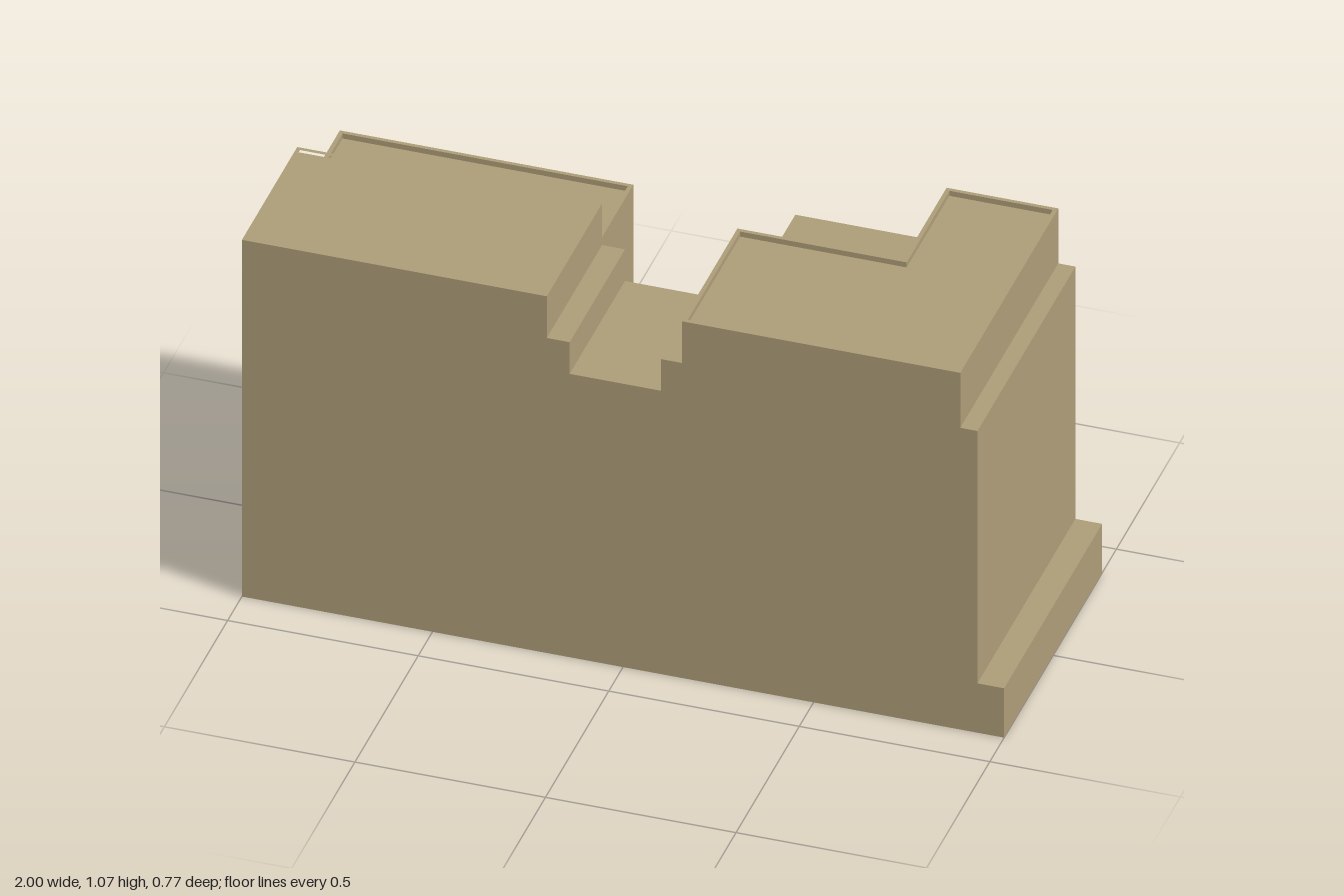
import * as THREE from 'three';

const D = 0.387;      // half depth
const MID = -0.05;    // plane between front and rear wings
const TOP = 1.07, LOW = 0.905;
const LIP = 0.015, T = 0.011; // parapet height and thickness

const toShape = (pts) => new THREE.Shape(pts.map(([x, y]) => new THREE.Vector2(x, y)));

export function createModel() {
  const group = new THREE.Group();
  const stone = new THREE.MeshStandardMaterial({ color: 0xad9d78 });
  stone.name = 'sandstone';

  const add = (name, geometry) => {
    const mesh = new THREE.Mesh(geometry, stone);
    mesh.name = name;
    group.add(mesh);
  };

  // Wing: elevation outline (x, y) swept from z0 to z1
  const wing = (name, pts, z0, z1) => {
    const g = new THREE.ExtrudeGeometry(toShape(pts), { depth: z1 - z0, bevelEnabled: false });
    add(name, g.translate(0, 0, z0));
  };

  // Parapet: plan outline (x, z) with an optional opening, raised to height y
  const parapet = (name, outer, inner, y) => {
    const plan = (pts) => pts.map(([x, z]) => [x, -z]);
    const shape = toShape(plan(outer));
    if (inner) shape.holes.push(toShape(plan(inner)));
    const g = new THREE.ExtrudeGeometry(shape, { depth: LIP, bevelEnabled: false });
    add(name, g.rotateX(-Math.PI / 2).translate(0, y - LIP, 0));
  };

  const rect = (x0, x1, z0, z1) => [[x0, z0], [x1, z0], [x1, z1], [x0, z1]];
  const roof = TOP - LIP;

  // Stepped end shared by both wings
  const end = [[1, 0], [1, 0.148], [0.93, 0.148], [0.93, LOW], [0.885, LOW], [0.885, roof]];

  // Front wing with the stepped central gap
  wing('frontWing', [[-1, 0], ...end,
    [0.155, roof], [0.155, 0.945], [0.1, 0.945], [0.1, 0.85],
    [-0.14, 0.85], [-0.14, 0.945], [-0.2, 0.945], [-0.2, roof], [-1, roof]], MID, D);

  // Rear wing with the deep court, terrace and lower roof
  wing('rearWing', [[-1, 0], ...end,
    [0.592, roof], [0.592, LOW], [0.195, LOW], [0.195, 0.58],
    [-0.23, 0.58], [-0.23, LOW - LIP], [-1, LOW - LIP]], -D, MID);

  // Roof parapets
  parapet('frontRoofParapet', rect(-1, -0.2, MID, D),
    rect(-1 + T, -0.2 - T, MID + T, D - T), TOP);

  parapet('cornerRoofParapet',
    [[0.155, D], [0.885, D], [0.885, -D], [0.592, -D], [0.592, MID], [0.155, MID]],
    [[0.155 + T, D - T], [0.885 - T, D - T], [0.885 - T, -D + T],
      [0.592 + T, -D + T], [0.592 + T, MID + T], [0.155 + T, MID + T]], TOP);

  // Lower parapet runs around three sides, against the front wing
  parapet('rearRoofParapet',
    [[-1, MID], [-1, -D], [-0.23, -D], [-0.23, MID], [-0.23 - T, MID],
      [-0.23 - T, -D + T], [-1 + T, -D + T], [-1 + T, MID]], null, LOW);

  return group;
}
